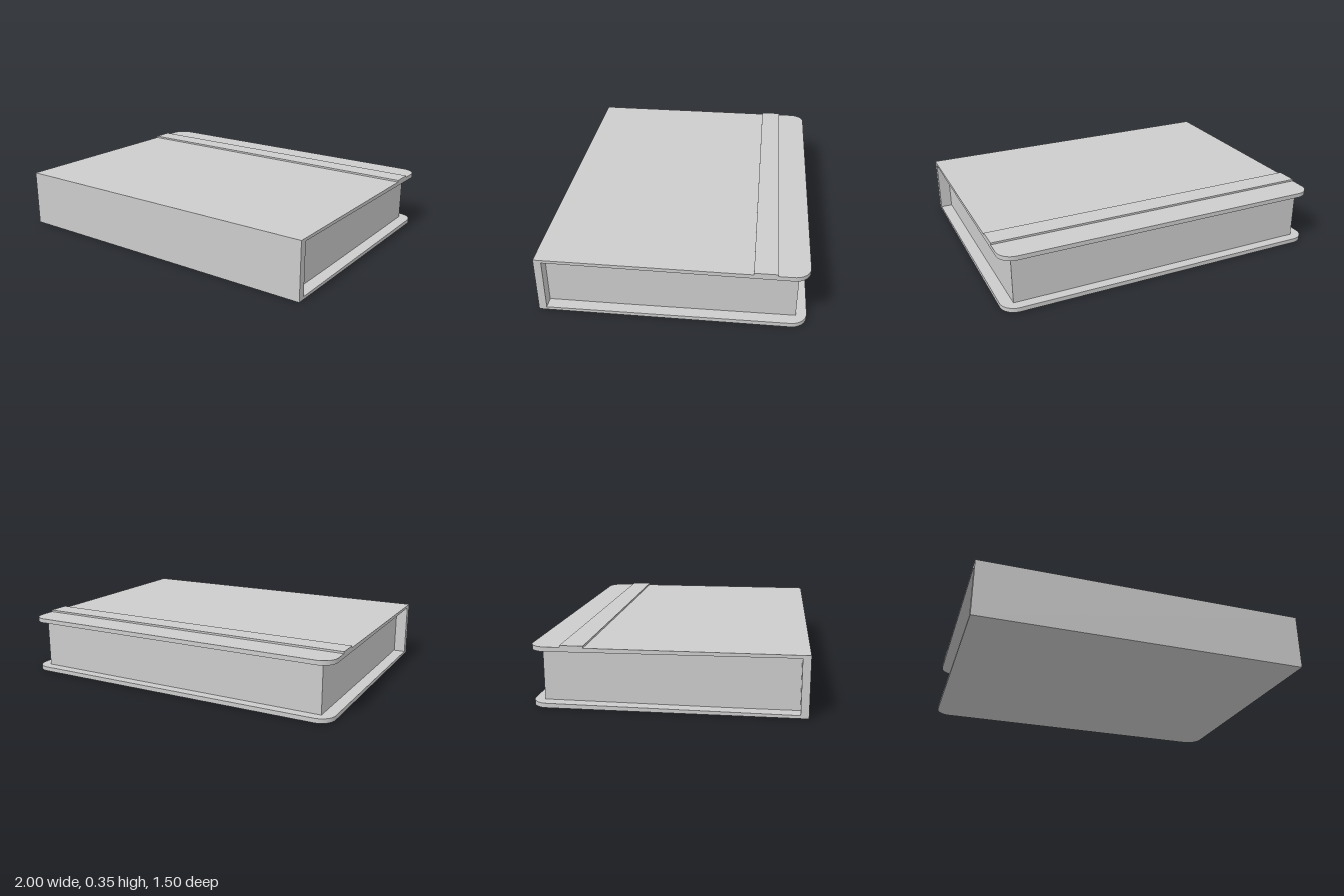
import * as THREE from 'three';

const HEIGHT = 0.342;      // closed height without the band
const SPINE_INNER = 0.706; // z of the inside of the spine
const BACK = -0.75;        // z of the free edge of the covers

// Board with two rounded corners that thickens towards its free edge
function coverGeometry(isTop) {
  const r = 0.09;
  const shape = new THREE.Shape();
  shape.moveTo(-1, -SPINE_INNER);
  shape.lineTo(1, -SPINE_INNER);
  shape.lineTo(1, -BACK - r);
  shape.absarc(1 - r, -BACK - r, r, 0, Math.PI / 2, false);
  shape.lineTo(-1 + r, -BACK);
  shape.absarc(-1 + r, -BACK - r, r, Math.PI / 2, Math.PI, false);
  shape.closePath();

  const geometry = new THREE.ExtrudeGeometry(shape, { depth: 1, bevelEnabled: false, curveSegments: 8 });
  geometry.rotateX(-Math.PI / 2);
  const pos = geometry.attributes.position;
  for (let i = 0; i < pos.count; i++) {
    const thickness = THREE.MathUtils.mapLinear(pos.getZ(i), SPINE_INNER, BACK, 0.017, 0.026);
    const upper = pos.getY(i) > 0.5;
    if (isTop) pos.setY(i, upper ? HEIGHT : HEIGHT - thickness);
    else pos.setY(i, upper ? thickness : 0);
  }
  geometry.computeVertexNormals();
  return geometry;
}

// Box given by its limits in y and z, centred on x
function slab(width, y0, y1, z0, z1) {
  const geometry = new THREE.BoxGeometry(width, y1 - y0, z1 - z0);
  geometry.translate(0, (y0 + y1) / 2, (z0 + z1) / 2);
  return geometry;
}

export function createModel() {
  const group = new THREE.Group();
  group.name = 'book';
  const grey = new THREE.MeshStandardMaterial({ color: 0xcccccc });
  grey.name = 'light grey';

  const add = (name, geometry) => {
    const mesh = new THREE.Mesh(geometry, grey);
    mesh.name = name;
    group.add(mesh);
  };

  // Binding
  add('bottomCover', coverGeometry(false));
  add('topCover', coverGeometry(true));
  add('spine', slab(2, 0, HEIGHT, SPINE_INNER, 0.75));

  // Page block, set in from the open edges
  add('pages', slab(1.86, 0.0195, 0.321, -0.69, SPINE_INNER));

  // Raised band across the top cover
  add('coverBand', slab(2, HEIGHT, 0.353, -0.575, -0.447));

  return group;
}
